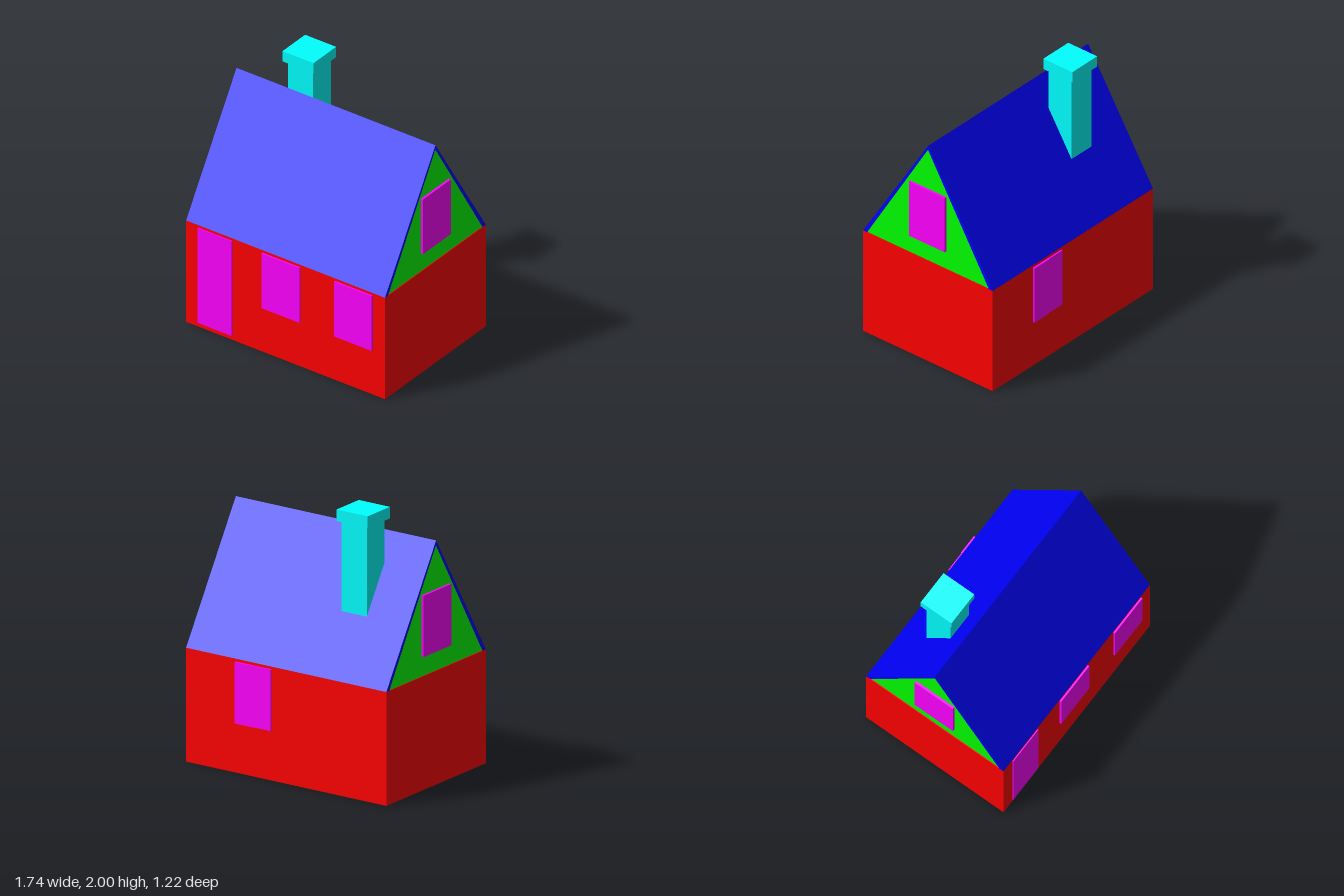
import * as THREE from 'three';

const material = (color) => new THREE.MeshStandardMaterial({ color, flatShading: true });

export function createModel() {
  const house = new THREE.Group();
  house.name = 'house';
  const red = material(0xff0000), blue = material(0x0000ff), green = material(0x00ff00);
  const magenta = material(0xff00ff), cyan = material(0x00ffff);

  const W = 0.86, D = 0.595, eave = 0.835, ridge = 1.79;

  const add = (name, geometry, mat) => {
    const mesh = new THREE.Mesh(geometry, mat);
    mesh.name = name;
    house.add(mesh);
    return mesh;
  };
  // Box given by its limits on each axis
  const box = (name, mat, [x0, x1], [y0, y1], [z0, z1]) => {
    const mesh = add(name, new THREE.BoxGeometry(x1 - x0, y1 - y0, z1 - z0), mat);
    mesh.position.set((x0 + x1) / 2, (y0 + y1) / 2, (z0 + z1) / 2);
    return mesh;
  };
  // Profile in (z, y), extruded along x and centred
  const prism = (name, mat, points, halfLength) => {
    const shape = new THREE.Shape(points.map(([z, y]) => new THREE.Vector2(-z, y)));
    const geometry = new THREE.ExtrudeGeometry(shape, { depth: 2 * halfLength, bevelEnabled: false });
    geometry.translate(0, 0, -halfLength).rotateY(Math.PI / 2);
    return add(name, geometry, mat);
  };

  // Thin outer walls around a raised floor
  const t = 0.025;
  for (const s of [-1, 1]) {
    const span = (outer) => (s > 0 ? [outer - t, outer] : [-outer, t - outer]);
    box(s > 0 ? 'frontWall' : 'backWall', red, [-W, W], [0, eave], span(D));
    box(s > 0 ? 'leftWall' : 'rightWall', red, span(W), [0, eave], [t - D, D - t]);
  }
  box('floor', red, [t - W, W - t], [0.03, 0.06], [t - D, D - t]);
  box('doorThreshold', red, [-0.755, -0.46], [0, 0.035], [D - 0.06, D - t]);

  // Roof shell with the gable infill just inside its ends
  prism('roof', blue, [[D, eave], [0, ridge], [-D, eave], [-0.56, eave], [0, 1.76], [0.56, eave]], W);
  prism('gables', green, [[0.562, eave], [0, 1.762], [-0.562, eave]], W - 0.006);

  // Door and windows
  box('door', magenta, [-0.755, -0.46], [0.035, 0.815], [D - 0.02, D + 0.008]);
  const sill = [0.365, 0.815];
  for (const x of [[-0.2, 0.13], [0.43, 0.755]]) {
    box('frontWindow', magenta, x, sill, [D - 0.02, D + 0.014]);
  }
  box('backWindowLeftPane', magenta, [0.275, 0.43], sill, [-D - 0.017, -D + 0.02]);
  box('backWindowRightPane', magenta, [0.125, 0.275], sill, [-D - 0.012, -D + 0.02]);
  for (const s of [-1, 1]) {
    const window = box('gableWindow', magenta, [-0.015, 0.015], [0.98, 1.43], [-0.165, 0.165]);
    window.position.x = s * (W - 0.003);
  }

  // Chimney
  box('chimneyStack', cyan, [-0.505, -0.29], [1.2, 1.92], [-0.335, -0.125]);
  box('chimneyCap', cyan, [-0.533, -0.265], [1.915, 2], [-0.363, -0.097]);

  return house;
}
